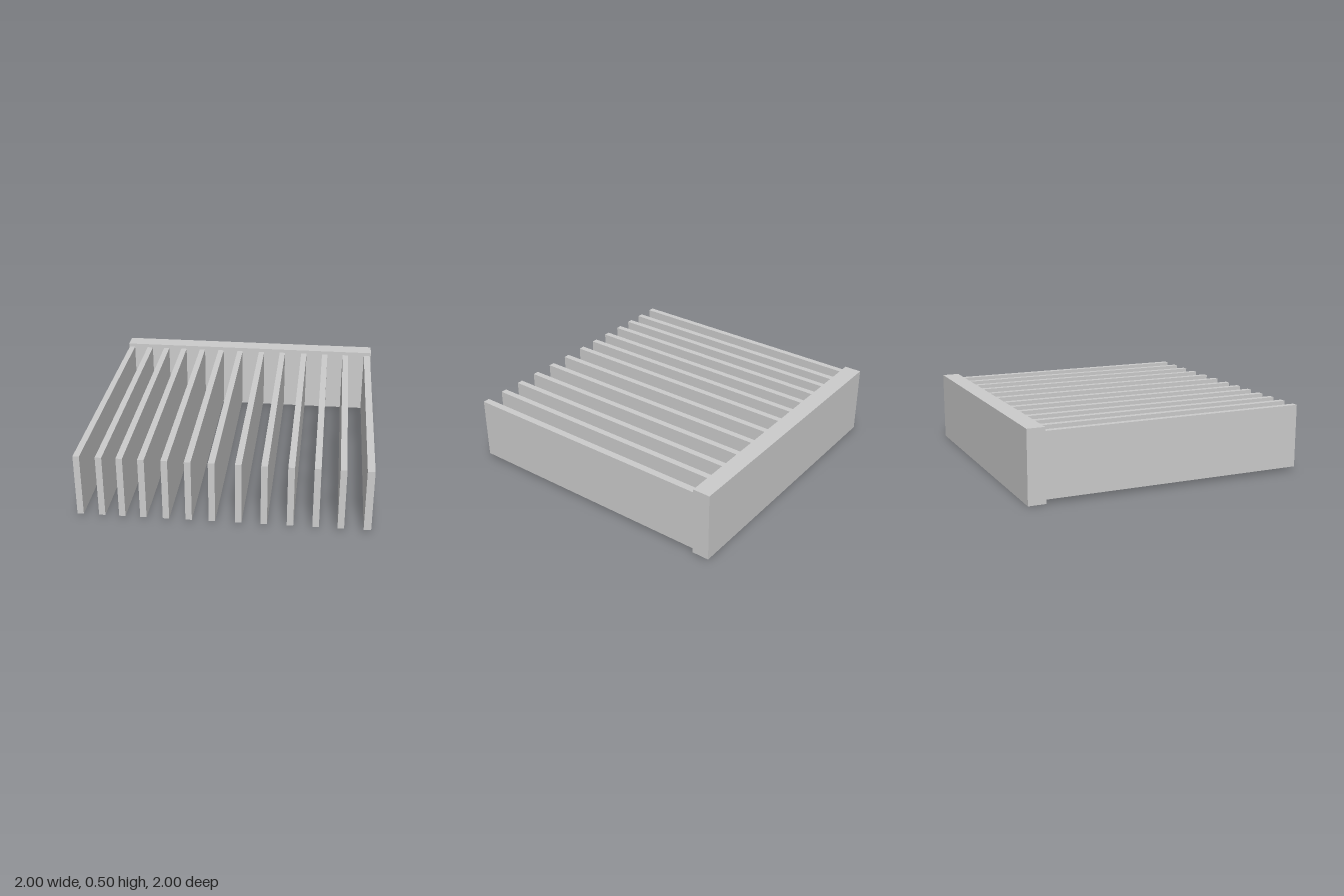
import * as THREE from 'three';

const material = new THREE.MeshStandardMaterial({ color: 0xcccccc, flatShading: true });

// Box given by its extents along each axis
function block(name, [x0, x1], [y0, y1], [z0, z1]) {
  const mesh = new THREE.Mesh(new THREE.BoxGeometry(x1 - x0, y1 - y0, z1 - z0), material);
  mesh.position.set((x0 + x1) / 2, (y0 + y1) / 2, (z0 + z1) / 2);
  mesh.name = name;
  return mesh;
}

export function createModel() {
  const group = new THREE.Group();
  group.name = 'finnedRack';

  // Back plate that carries the fins
  group.add(block('backPlate', [-1, 1], [0, 0.5], [-0.998, -0.874]));

  // Upright fins, slightly unevenly spaced; the last one is a little thicker
  const fins = new THREE.Group();
  fins.name = 'fins';
  const centres = [-0.973, -0.823, -0.684, -0.539, -0.384, -0.229, -0.071,
    0.107, 0.279, 0.455, 0.626, 0.793, 0.969];
  centres.forEach((x, i) => {
    const half = i === centres.length - 1 ? 0.025 : 0.022;
    fins.add(block(`fin${i + 1}`, [x - half, x + half], [0.027, 0.473], [-0.874, 0.998]));
  });
  group.add(fins);

  return group;
}
